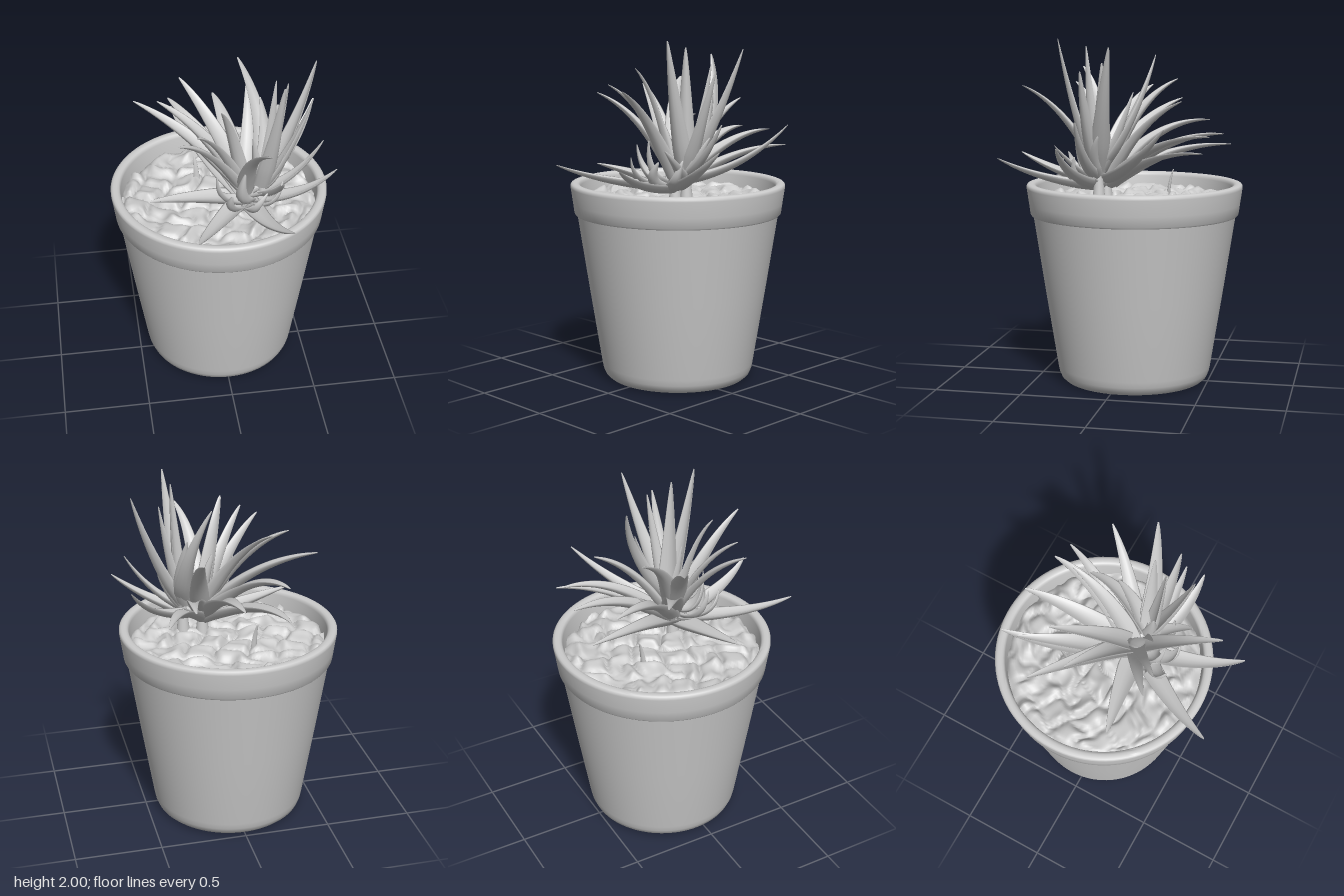
import * as THREE from 'three';
import { mergeVertices, toCreasedNormals } from 'three/addons/utils/BufferGeometryUtils.js';

const POT_Z = -0.06;
const material = new THREE.MeshStandardMaterial({ color: 0xcccccc, roughness: 0.8 });

function addMesh(parent, name, geometry) {
  const mesh = new THREE.Mesh(geometry, material);
  mesh.name = name;
  parent.add(mesh);
  return mesh;
}

// Tapered pot with a collar, a rounded lip and a recessed foot
function potGeometry() {
  const profile = [
    [0, 0.02], [0.325, 0.02], [0.335, 0.005], [0.345, 0], [0.385, 0], [0.41, 0.007], [0.43, 0.025], [0.443, 0.055],
    [0.45, 0.09], [0.52, 0.53], [0.59, 0.985], [0.6, 0.982], [0.606, 0.99], [0.614, 1.05], [0.627, 1.14],
    [0.627, 1.152], [0.621, 1.161], [0.61, 1.165], [0.592, 1.165], [0.58, 1.161], [0.573, 1.152], [0.57, 1.14],
    [0.56, 1.0],
  ].map(([r, y]) => new THREE.Vector2(r, y));
  return toCreasedNormals(new THREE.LatheGeometry(profile, 96), 0.75);
}

// Lumpy disc of soil with a ragged edge, its height set by warped waves
function soilGeometry() {
  const ring = new THREE.RingGeometry(0.001, 0.566, 160, 50).rotateX(-Math.PI / 2);
  ring.deleteAttribute('uv');
  ring.deleteAttribute('normal');
  const geometry = mergeVertices(ring, 1e-6);
  const p = geometry.attributes.position;
  for (let i = 0; i < p.count; i++) {
    const x = p.getX(i), z = p.getZ(i);
    const u = x + 0.05 * Math.sin(15 * z + 1) + 0.025 * Math.sin(33 * x + 21 * z);
    const v = z + 0.05 * Math.sin(13 * x + 2) + 0.025 * Math.sin(35 * z - 17 * x);
    const lumps = Math.abs(Math.sin(18 * u + 7 * v)) * Math.abs(Math.sin(20 * v - 7 * u));
    const grain = Math.sin(47 * u) * Math.sin(43 * v);
    const ragged = 0.52 + 0.015 * Math.sin(40 * u) * Math.cos(34 * v);
    const edge = Math.max(0, (Math.hypot(x, z) - ragged) / 0.046);
    p.setY(i, 1.058 + 0.045 * Math.pow(lumps, 0.7) + 0.007 * grain - 0.035 * edge * edge);
  }
  geometry.computeVertexNormals();
  return geometry;
}

// Fleshy channelled leaf: crescent sections along a curve, narrowing to a point.
// out and rise place the bend as fractions of the reach and the height; swing moves it sideways.
function leafGeometry(base, tip, halfWidth, out, rise, swing) {
  const a = new THREE.Vector3(...base), c = new THREE.Vector3(...tip);
  const side = new THREE.Vector3(c.x - a.x, 0, c.z - a.z).normalize().cross(new THREE.Vector3(0, 1, 0));
  const bend = new THREE.Vector3(
    a.x + (c.x - a.x) * out, a.y + (c.y - a.y) * rise, a.z + (c.z - a.z) * out).addScaledVector(side, swing);
  const curve = new THREE.QuadraticBezierCurve3(a, bend, c);
  const rows = 22, ring = 14, positions = [], index = [];
  for (let i = 0; i <= rows; i++) {
    const t = i / rows;
    const centre = curve.getPoint(t), tangent = curve.getTangent(t);
    const across = side.clone().addScaledVector(tangent, -side.dot(tangent)).normalize();
    const normal = across.clone().cross(tangent);
    const w = halfWidth * Math.min(1, 0.8 + t) * Math.pow(1 - t, 0.78) + 0.004;
    for (let j = 0; j < ring; j++) {
      const angle = (j / ring) * Math.PI * 2;
      const x = Math.cos(angle), y = Math.sin(angle);
      const lift = w * ((y > 0 ? 0.1 : 0.36) * y + 0.5 * x * x - 0.2);
      const v = centre.clone().addScaledVector(across, w * x).addScaledVector(normal, lift);
      positions.push(v.x, v.y, v.z);
      if (i < rows) {
        const k = i * ring + j, n = i * ring + (j + 1) % ring;
        index.push(k, k + ring, n, n, k + ring, n + ring);
      }
    }
  }
  positions.push(c.x, c.y, c.z);
  const last = rows * ring;
  for (let j = 0; j < ring; j++) index.push(last + j, last + ring, last + (j + 1) % ring);
  const geometry = new THREE.BufferGeometry();
  geometry.setAttribute('position', new THREE.Float32BufferAttribute(positions, 3));
  geometry.setIndex(index);
  geometry.computeVertexNormals();
  return geometry;
}

// Each leaf row: tip x, y, z, height of its base, half width, swing
function addRosette(parent, name, heart, leaves, out, rise) {
  const group = new THREE.Group();
  group.name = name;
  for (const [x, y, z, baseY, width, swing] of leaves) {
    const dx = x - heart[0], dz = z - heart[1], d = Math.hypot(dx, dz);
    const base = [heart[0] + 0.02 * dx / d, baseY, heart[1] + 0.02 * dz / d];
    addMesh(group, 'leaf', leafGeometry(base, [x, y, z], width, out, rise, swing));
  }
  parent.add(group);
}

export function createModel() {
  const model = new THREE.Group();
  model.name = 'pottedSucculent';
  addMesh(model, 'pot', potGeometry()).position.z = POT_Z;
  addMesh(model, 'soil', soilGeometry()).position.z = POT_Z;

  // Stems under the two rosettes, tapering into the leaves
  for (const [x, z, top] of [[0.12, 0.08, 1.32], [0.23, 0.1, 1.36]]) {
    const height = top - 1.03;
    addMesh(model, 'stem', new THREE.CylinderGeometry(0.006, 0.045, height, 16))
      .position.set(x, 1.03 + height / 2, z);
  }

  // Leaves arching over to the back
  addRosette(model, 'archingLeaves', [0.12, 0.07], [
    [-0.245, 1.52, -0.463, 1.2, 0.074, -0.08],
    [-0.215, 1.38, -0.595, 1.17, 0.074, -0.12],
    [0.036, 1.46, -0.585, 1.19, 0.076, 0],
    [0.29, 1.46, -0.537, 1.19, 0.066, 0.06],
    [0.43, 1.38, -0.518, 1.17, 0.06, 0.04],
  ], 0.5, 1.05);

  // Leaves rising from the heart and bending outwards
  addRosette(model, 'risingLeaves', [0.13, 0.08], [
    [-0.46, 1.635, -0.266, 1.22, 0.072, -0.03],
    [-0.34, 1.72, -0.106, 1.24, 0.07, -0.03],
    [-0.195, 1.76, -0.28, 1.25, 0.068, -0.05],
    [-0.27, 1.69, 0.325, 1.22, 0.058, 0.04],
    [-0.17, 1.74, 0.33, 1.24, 0.05, 0.04],
    [-0.03, 1.835, 0.25, 1.26, 0.055, 0.03],
    [0.19, 1.73, 0.555, 1.2, 0.058, 0.05],
    [0.21, 1.65, -0.37, 1.2, 0.062, 0.03],
    [0.03, 1.55, 0.12, 1.22, 0.055, 0],
  ], 0.44, 0.78);

  // Low leaves lying outwards with lifted tips
  addRosette(model, 'lowLeaves', [0.13, 0.1], [
    [-0.212, 1.31, 0.683, 1.17, 0.066, 0.04],
    [0.3, 1.32, 0.675, 1.16, 0.066, 0.05],
    [0.62, 1.41, 0.248, 1.17, 0.062, 0.07],
    [0.6, 1.52, -0.336, 1.2, 0.062, 0.06],
    [0.555, 1.55, 0.16, 1.19, 0.052, 0.03],
  ], 0.6, 0.2);
  addRosette(model, 'broadLeaf', [0.12, 0.09], [
    [-0.423, 1.255, 0.193, 1.16, 0.076, 0.02],
  ], 0.5, 0.65);

  // Smaller, higher rosette on the left, mostly upright
  addRosette(model, 'sideRosette', [0.225, 0.1], [
    [0.296, 1.995, 0.317, 1.26, 0.064, 0],
    [0.28, 1.955, 0.16, 1.28, 0.062, 0],
    [0.537, 1.95, -0.025, 1.26, 0.064, 0.02],
    [0.49, 1.82, 0.146, 1.25, 0.055, 0.02],
    [0.37, 1.865, 0.05, 1.27, 0.052, 0],
    [0.127, 1.905, -0.206, 1.28, 0.066, 0.13],
    [0.24, 1.7, -0.1, 1.26, 0.06, 0.05],
    [0.38, 1.46, 0.07, 1.24, 0.048, 0.04],
    [0.3, 1.4, 0.34, 1.2, 0.048, -0.04],
    [0.16, 1.6, 0.16, 1.26, 0.05, 0],
  ], 0.6, 0.45);

  // Short curled leaves around the foot of the rosettes
  addRosette(model, 'youngLeaves', [0.15, 0.14], [
    [0.02, 1.34, 0.33, 1.17, 0.056, 0.06],
    [0.22, 1.33, 0.31, 1.17, 0.058, 0.1],
    [0.1, 1.44, 0.27, 1.2, 0.056, 0.05],
    [-0.05, 1.4, 0.22, 1.18, 0.054, 0.03],
    [0.32, 1.34, 0.22, 1.17, 0.05, 0.05],
  ], 0.95, 0.1);

  // Tiny sprout in the soil at the back
  addRosette(model, 'sprout', [-0.1, -0.22], [
    [-0.12, 1.235, -0.27, 1.06, 0.018, 0],
  ], 0.3, 0.7);

  return model;
}
